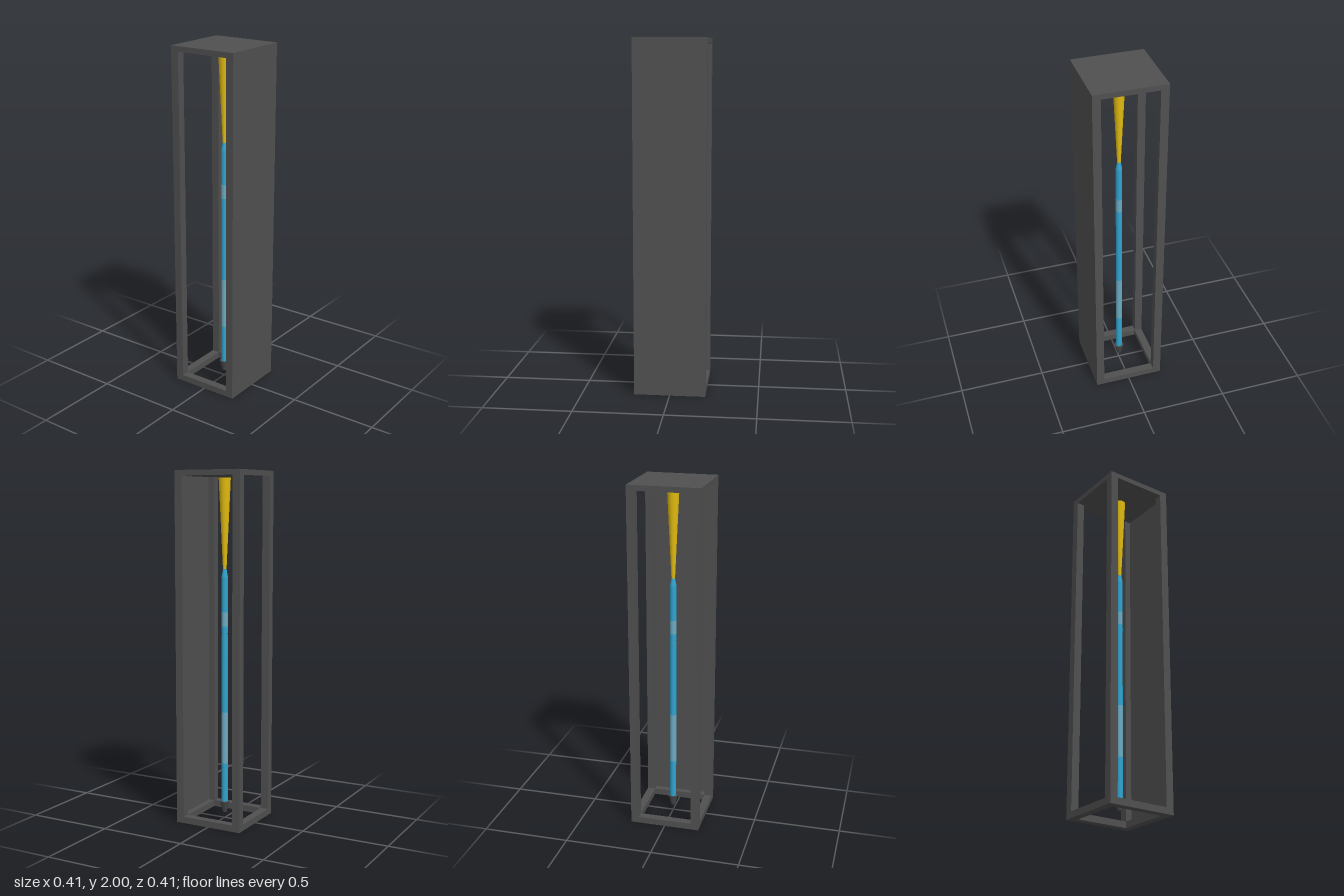
import * as THREE from 'three';

export function createModel() {
  const model = new THREE.Group();
  const mat = (name, color) => {
    const m = new THREE.MeshStandardMaterial({ color });
    m.name = name;
    return m;
  };
  const charcoal = mat('charcoal', 0x505050);
  const darkGrey = mat('dark grey', 0x484848);
  const blue = mat('blue', 0x30a4d0);
  const paleBlue = mat('pale blue', 0x6cabc2);
  const yellow = mat('yellow', 0xe2bc10);

  const add = (parent, name, geometry, material, x = 0, y = 0, z = 0) => {
    const mesh = new THREE.Mesh(geometry, material);
    mesh.name = name;
    mesh.position.set(x, y, z);
    parent.add(mesh);
    return mesh;
  };

  const half = 0.203, post = 0.046, base = 0.037, roof = 0.03;
  const inner = half - post;

  // Open case: base ring, four posts, solid roof and a closed front
  const frame = new THREE.Group();
  frame.name = 'caseFrame';
  model.add(frame);

  const square = (Path, r) => new Path([
    new THREE.Vector2(-r, -r), new THREE.Vector2(r, -r),
    new THREE.Vector2(r, r), new THREE.Vector2(-r, r),
  ]);
  const ring = square(THREE.Shape, half);
  ring.holes.push(square(THREE.Path, inner));
  const ringGeometry = new THREE.ExtrudeGeometry(ring, { depth: base, bevelEnabled: false });
  ringGeometry.rotateX(-Math.PI / 2);
  add(frame, 'baseRing', ringGeometry, charcoal);

  const postHeight = 2 - base - roof;
  const postGeometry = new THREE.BoxGeometry(post, postHeight, post);
  const c = half - post / 2;
  for (const sx of [-1, 1]) {
    for (const sz of [-1, 1]) {
      add(frame, 'cornerPost', postGeometry, charcoal, sx * c, base + postHeight / 2, sz * c);
    }
  }
  add(frame, 'roof', new THREE.BoxGeometry(2 * half, roof, 2 * half), charcoal, 0, 2 - roof / 2, 0);
  add(frame, 'frontPanel', new THREE.BoxGeometry(2 * inner, postHeight, 0.01), charcoal,
    0, base + postHeight / 2, half - 0.005);

  // Slender rod standing on the centre line, each section [bottom y, top y, bottom r, top r]
  const rod = new THREE.Group();
  rod.name = 'rod';
  model.add(rod);
  const section = (name, material, y0, y1, r0, r1 = r0) =>
    add(rod, name, new THREE.CylinderGeometry(r1, r0, y1 - y0, 24), material, 0, (y0 + y1) / 2, 0);

  section('tip', darkGrey, 0.037, 0.1, 0.012, 0.028);
  section('lowerShaft', blue, 0.1, 0.33, 0.018);
  section('lowerGrip', paleBlue, 0.33, 0.63, 0.0182);
  section('middleShaft', blue, 0.63, 1.08, 0.018);
  section('jointGroove', blue, 1.08, 1.09, 0.0165);
  section('jointCollar', blue, 1.09, 1.13, 0.0185);
  section('upperGrip', paleBlue, 1.13, 1.21, 0.0182);
  section('upperShaft', blue, 1.21, 1.41, 0.018);
  section('shoulder', blue, 1.41, 1.46, 0.018, 0.009);
  section('flaredHead', yellow, 1.45, 1.96, 0.01, 0.034);

  return model;
}
